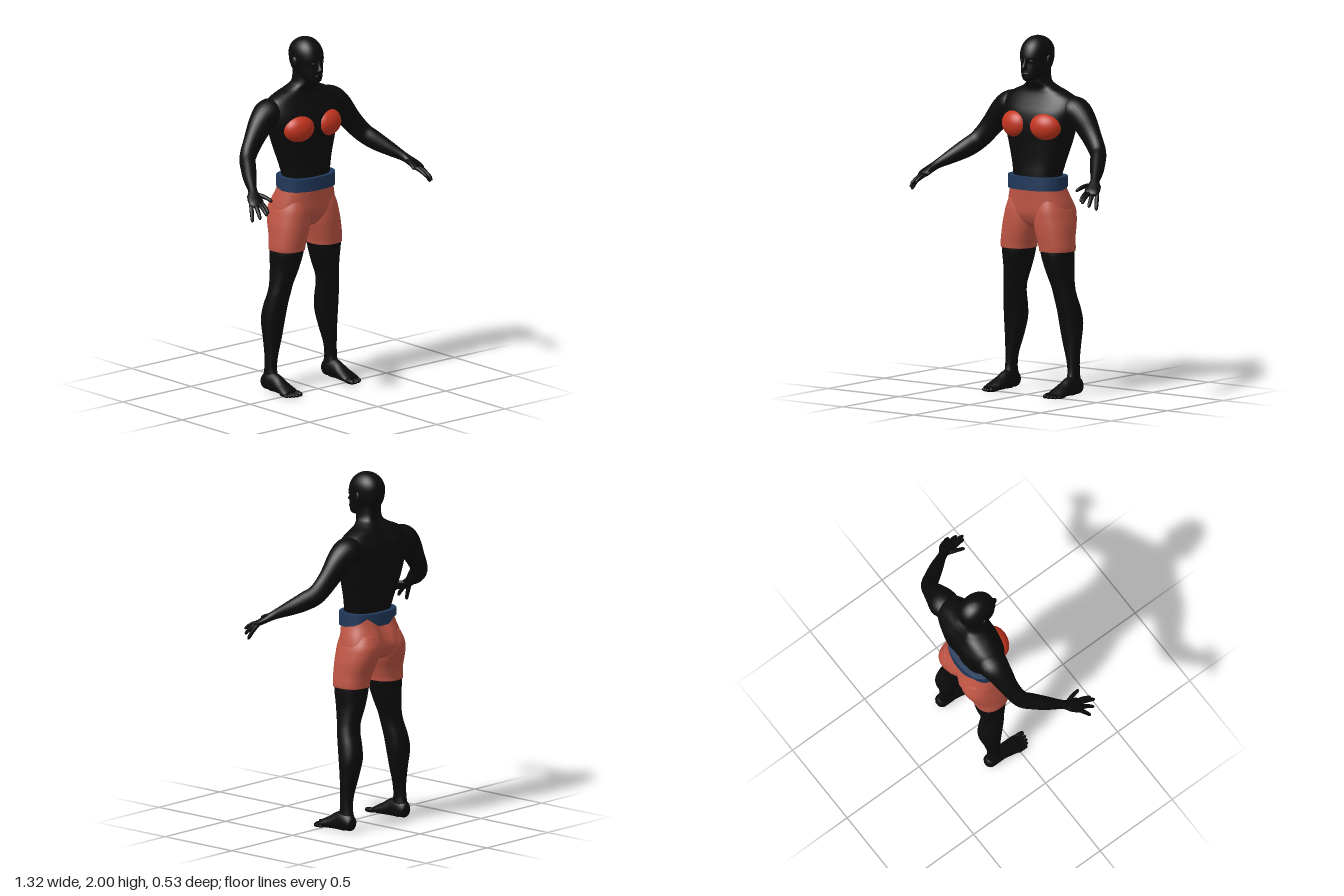
import * as THREE from 'three';

const mat = (name, color, side = THREE.FrontSide) => {
  const m = new THREE.MeshStandardMaterial({ color, side });
  m.name = name;
  return m;
};

// Catmull-Rom refinement of a list of number rows
function refine(rows, n) {
  const out = [];
  for (let i = 0; i < rows.length - 1; i++) {
    const a = rows[Math.max(i - 1, 0)], b = rows[i], c = rows[i + 1], d = rows[Math.min(i + 2, rows.length - 1)];
    for (let k = 0; k < n; k++) {
      const t = k / n;
      out.push(b.map((_, j) => 0.5 * (2 * b[j] + (c[j] - a[j]) * t +
        (2 * a[j] - 5 * b[j] + 4 * c[j] - d[j]) * t * t + (3 * b[j] - a[j] - 3 * c[j] + d[j]) * t * t * t)));
    }
  }
  out.push(rows[rows.length - 1]);
  return out;
}

// Skin over rings of points, closed by fans when capped
function skin(rings, capped = true) {
  const n = rings[0].length, m = rings.length, pos = [], idx = [];
  rings.forEach(r => r.forEach(p => pos.push(p.x, p.y, p.z)));
  for (let i = 0; i < m - 1; i++) for (let j = 0; j < n; j++) {
    const a = i * n + j, c = i * n + (j + 1) % n;
    idx.push(a, a + n, c, c, a + n, c + n);
  }
  if (capped) [0, m - 1].forEach(i => {
    const mid = rings[i].reduce((s, p) => s.add(p), new THREE.Vector3()).divideScalar(n);
    const v = pos.length / 3;
    pos.push(mid.x, mid.y, mid.z);
    for (let j = 0; j < n; j++) {
      const a = i * n + j, b = i * n + (j + 1) % n;
      if (i === 0) idx.push(v, a, b); else idx.push(v, b, a);
    }
  });
  const g = new THREE.BufferGeometry();
  g.setAttribute('position', new THREE.Float32BufferAttribute(pos, 3));
  g.setIndex(idx);
  g.computeVertexNormals();
  return g;
}

const SEG = 40;
const power = (v, e) => Math.sign(v) * Math.abs(v) ** e;

// Upright loft: rows of [y, xMin, xMax, zFront, zBack], with an optional groove down the back
function column(rows, e = 0.9, groove = 0) {
  return skin(refine(rows, 5).map(([y, x0, x1, zf, zb]) => Array.from({ length: SEG }, (_, j) => {
    const t = j / SEG * Math.PI * 2;
    const x = (x0 + x1) / 2 + (x1 - x0) / 2 * power(Math.cos(t), e);
    let z = (zf + zb) / 2 + (zf - zb) / 2 * power(Math.sin(t), e);
    if (Math.sin(t) < 0) z += groove * Math.exp(-((x / 0.035) ** 2));
    return new THREE.Vector3(x, y, z);
  })));
}
const sym = rows => rows.map(([y, w, zf, zb]) => [y, -w, w, zf, zb]);

// Limb loft along a path: rows of [x, y, z, half width, half height]
function limb(rows, seg = 24, steps = 5) {
  const r = refine(rows, steps), up = new THREE.Vector3(0, 1, 0);
  const at = i => new THREE.Vector3(...r[Math.min(Math.max(i, 0), r.length - 1)].slice(0, 3));
  return skin(r.map((row, i) => {
    const T = at(i + 1).sub(at(i - 1)).normalize();
    const N = T.clone().cross(up).normalize(), B = N.clone().cross(T);
    return Array.from({ length: seg }, (_, j) => {
      const t = j / seg * Math.PI * 2;
      return at(i).addScaledVector(N, row[3] * Math.cos(t)).addScaledVector(B, row[4] * Math.sin(t));
    });
  }));
}

// Finger or toe from a to b with a rounded tip
function digit(a, b, r, sag = 0) {
  const p = t => a.map((v, k) => v + (b[k] - v) * t + (k === 1 ? sag * 4 * t * (1 - t) : 0));
  return limb([[0, 0.9], [0.35, 1], [0.7, 0.9], [0.93, 0.72], [1, 0.15]].map(([t, s]) => [...p(t), r * s, r * s]), 12, 3);
}

function ball(x, y, z, rx, ry, rz, turn = 0) {
  return new THREE.SphereGeometry(1, 32, 20).scale(rx, ry, rz).rotateY(turn).translate(x, y, z);
}

function mirrored(g) {
  const c = g.clone().scale(-1, 1, 1), a = c.index.array;
  for (let i = 0; i < a.length; i += 3) [a[i], a[i + 1]] = [a[i + 1], a[i]];
  c.computeVertexNormals();
  return c;
}

export function createModel() {
  const black = mat('black skin', 0x0b0b0b), red = mat('red chest', 0xc5351f);
  const coral = mat('coral shorts', 0xbe5544), navy = mat('navy belt', 0x20385a, THREE.DoubleSide);
  const grey = mat('grey eyes', 0x3a3a3a);
  const group = new THREE.Group();
  const add = (name, g, m) => {
    const mesh = new THREE.Mesh(g, m);
    mesh.name = name;
    group.add(mesh);
  };
  const pair = (name, g, m) => {
    add('left ' + name, g, m);
    add('right ' + name, mirrored(g), m);
  };

  // Torso and neck
  add('torso', column(sym([
    [1.12, 0.145, -0.01, -0.19], [1.21, 0.144, -0.005, -0.205], [1.3, 0.165, -0.01, -0.225],
    [1.4, 0.195, -0.008, -0.25], [1.5, 0.225, -0.005, -0.262], [1.57, 0.24, -0.015, -0.266],
    [1.62, 0.245, -0.038, -0.262], [1.66, 0.22, -0.058, -0.242], [1.69, 0.165, -0.068, -0.226],
    [1.715, 0.105, -0.066, -0.21], [1.75, 0.066, -0.048, -0.19], [1.83, 0.062, -0.05, -0.185],
  ]), 0.85, 0.018), black);
  pair('chest muscle', ball(0.106, 1.503, -0.045, 0.094, 0.077, 0.066, 0.2), red);

  // Head
  add('head', column(sym([
    [1.752, 0.018, -0.004, -0.04], [1.765, 0.042, 0.006, -0.1], [1.79, 0.06, 0.008, -0.155],
    [1.82, 0.07, 0.007, -0.19], [1.855, 0.077, 0.004, -0.206], [1.885, 0.081, 0.009, -0.211],
    [1.92, 0.081, 0.002, -0.21], [1.95, 0.073, -0.012, -0.198], [1.975, 0.056, -0.035, -0.175],
    [1.992, 0.034, -0.063, -0.145], [2.0, 0.006, -0.095, -0.112],
  ]), 0.92), black);
  add('nose', column(sym([
    [1.816, 0.006, 0.012, -0.01], [1.824, 0.018, 0.028, -0.01], [1.834, 0.014, 0.034, -0.01],
    [1.855, 0.009, 0.02, -0.01], [1.885, 0.007, 0.01, -0.01],
  ])), black);
  add('lips', ball(0, 1.795, 0.005, 0.026, 0.01, 0.012), black);
  pair('ear', ball(0.083, 1.865, -0.105, 0.011, 0.032, 0.02, -0.3), black);
  pair('eye', ball(0.034, 1.869, -0.003, 0.012, 0.004, 0.006, 0.3), grey);

  // Arms and hands
  pair('arm', limb([
    [0.15, 1.6, -0.16, 0.06, 0.06], [0.22, 1.592, -0.16, 0.084, 0.078], [0.282, 1.548, -0.153, 0.07, 0.074],
    [0.355, 1.457, -0.14, 0.051, 0.062], [0.42, 1.378, -0.113, 0.045, 0.055], [0.46, 1.335, -0.06, 0.043, 0.053],
    [0.505, 1.295, 0.005, 0.037, 0.042], [0.553, 1.252, 0.082, 0.025, 0.026], [0.575, 1.228, 0.12, 0.04, 0.021],
    [0.593, 1.203, 0.16, 0.043, 0.018], [0.6, 1.19, 0.18, 0.03, 0.01],
  ]), black);
  [
    [[0.565, 1.202, 0.165], [0.583, 1.16, 0.25]], [[0.585, 1.2, 0.172], [0.604, 1.152, 0.262]],
    [[0.605, 1.195, 0.165], [0.63, 1.13, 0.236]], [[0.622, 1.195, 0.148], [0.652, 1.11, 0.195]],
    [[0.55, 1.235, 0.11], [0.522, 1.208, 0.212]],
  ].forEach(([a, b], i) => pair(i < 4 ? 'finger ' + (i + 1) : 'thumb', digit(a, b, 0.012, 0.008), black));

  // Shorts
  add('shorts seat', column(sym([
    [0.932, 0.05, -0.05, -0.17], [0.96, 0.14, -0.025, -0.235], [1.0, 0.19, -0.006, -0.258],
    [1.04, 0.196, 0, -0.265], [1.09, 0.186, 0.001, -0.252], [1.15, 0.168, 0.004, -0.228],
    [1.205, 0.16, 0.002, -0.215],
  ]), 0.82, 0.03), coral);
  pair('shorts leg', column([
    [0.805, 0.04, 0.231, -0.01, -0.21], [0.83, 0.036, 0.232, -0.008, -0.211], [0.88, 0.022, 0.226, -0.003, -0.22],
    [0.94, 0.004, 0.219, 0, -0.243], [0.99, 0, 0.209, -0.001, -0.258], [1.04, 0.005, 0.196, -0.005, -0.26],
    [1.1, 0.02, 0.17, -0.02, -0.235],
  ], 0.88), coral);

  // Belt: straight in front, cut up over each side of the seat
  const beltRing = (s, yAt) => Array.from({ length: 96 }, (_, j) => {
    const t = j / 96 * Math.PI * 2, c = Math.cos(t), q = Math.sin(t);
    return new THREE.Vector3(0.175 * s * power(c, 0.8), yAt(c, q), -0.107 + 0.123 * s * power(q, 0.8));
  });
  add('belt', skin([
    beltRing(1, (c, q) => 1.145 + (q < 0 ? 0.05 * Math.max(0, 1 - Math.abs(Math.abs(c) - 0.6) / 0.45) : 0)),
    beltRing(1, () => 1.218), beltRing(0.99, () => 1.22), beltRing(0.78, () => 1.22),
  ], false), navy);

  // Legs
  pair('leg', column([
    [0.03, 0.187, 0.255, -0.1, -0.195], [0.08, 0.187, 0.252, -0.1, -0.195], [0.13, 0.19, 0.25, -0.11, -0.187],
    [0.2, 0.18, 0.25, -0.11, -0.188], [0.3, 0.15, 0.256, -0.105, -0.203], [0.4, 0.13, 0.26, -0.094, -0.222],
    [0.48, 0.123, 0.253, -0.08, -0.212], [0.55, 0.115, 0.242, -0.066, -0.19], [0.61, 0.104, 0.231, -0.054, -0.186],
    [0.7, 0.075, 0.221, -0.03, -0.2], [0.8, 0.046, 0.225, -0.015, -0.206], [0.86, 0.05, 0.215, -0.03, -0.2],
  ]), black);

  // Feet and toes
  pair('foot', limb([
    [0.222, 0.035, -0.207, 0.012, 0.018], [0.222, 0.04, -0.19, 0.034, 0.039], [0.222, 0.056, -0.15, 0.04, 0.056],
    [0.222, 0.052, -0.1, 0.039, 0.052], [0.222, 0.038, -0.05, 0.045, 0.038], [0.224, 0.026, 0, 0.051, 0.026],
    [0.225, 0.017, 0.035, 0.049, 0.016],
  ]), black);
  [[0.189, 0.08, 0.015], [0.212, 0.079, 0.011], [0.232, 0.073, 0.011], [0.25, 0.064, 0.01], [0.265, 0.05, 0.01]]
    .forEach(([x, z, r], i) => pair('toe ' + (i + 1), digit([x, r + 0.004, z - 0.06], [x + 0.002, r, z], r), black));

  return group;
}
